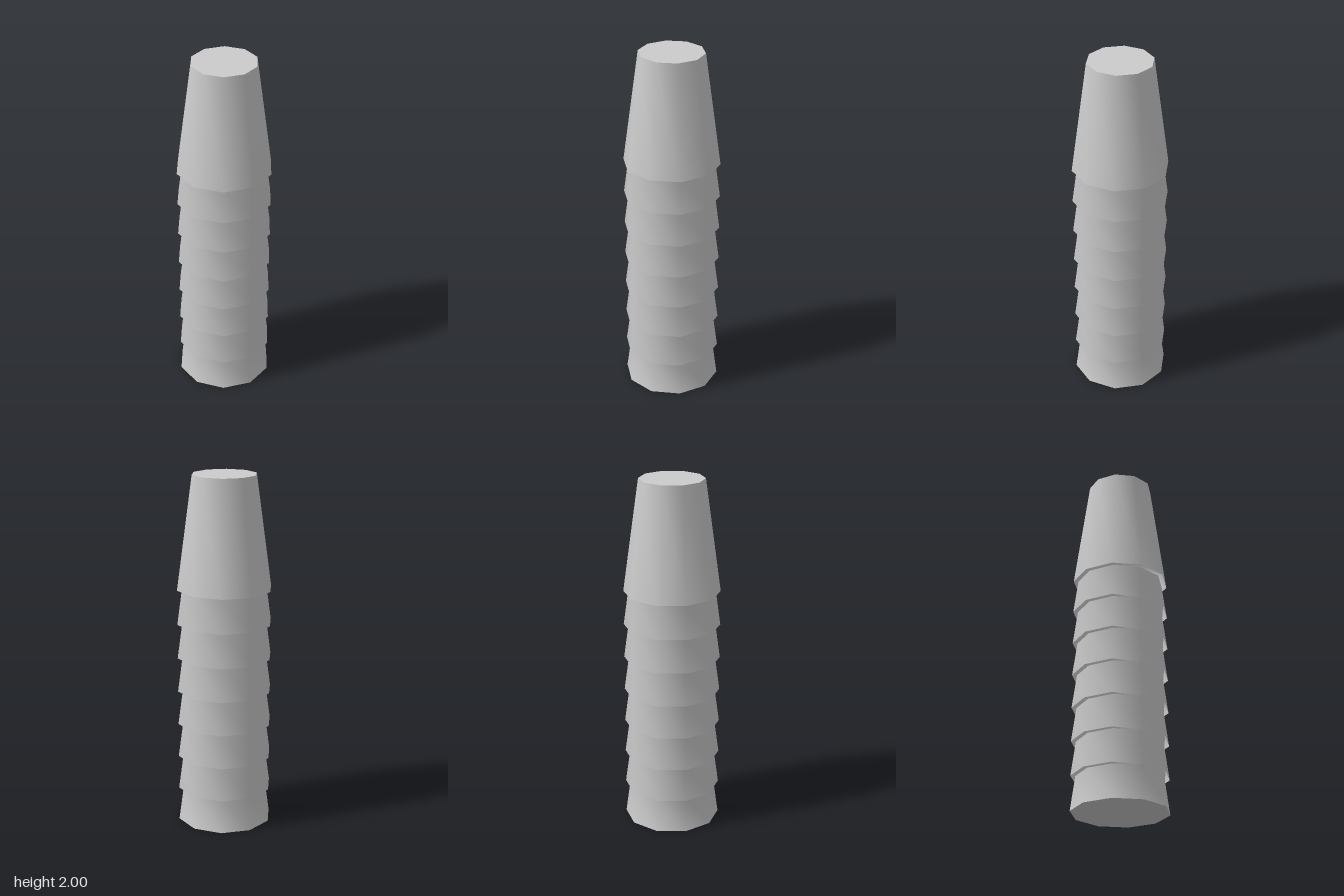
import * as THREE from 'three';
import { mergeVertices } from 'three/addons/utils/BufferGeometryUtils.js';

const SIDES = 10, CUPS = 8, STEP = 0.195;
const BASE_R = 0.27, TOP_R = 0.182, CUP_H = 0.635;

export function createModel() {
  const group = new THREE.Group();
  group.name = 'cupStack';
  const cupGrey = new THREE.MeshStandardMaterial({ color: 0xcccccc });
  cupGrey.name = 'cupGrey';

  const add = (name, geometry, y = 0) => {
    const mesh = new THREE.Mesh(geometry, cupGrey);
    mesh.name = name;
    mesh.position.y = y;
    group.add(mesh);
    return mesh;
  };

  // Stepped wall: the visible band of each nested cup, then the full top cup
  const profile = [];
  for (let i = 0; i < CUPS; i++) {
    const y = i * STEP;
    const h = i === CUPS - 1 ? CUP_H : STEP;
    const r = BASE_R + (TOP_R - BASE_R) * (h / CUP_H);
    profile.push(new THREE.Vector2(BASE_R, y), new THREE.Vector2(r, y + h));
  }
  const wall = new THREE.LatheGeometry(profile, SIDES, Math.PI / 2);
  // Weld the seam and shade smoothly by face area
  wall.deleteAttribute('normal');
  wall.deleteAttribute('uv');
  const smoothWall = mergeVertices(wall, 1e-4);
  smoothWall.computeVertexNormals();
  add('nestedCupWalls', smoothWall);

  // Flat end discs
  const top = new THREE.CircleGeometry(TOP_R, SIDES).rotateX(-Math.PI / 2);
  const bottom = new THREE.CircleGeometry(BASE_R, SIDES).rotateX(Math.PI / 2);
  add('topDisc', top, (CUPS - 1) * STEP + CUP_H);
  add('bottomDisc', bottom);

  return group;
}
